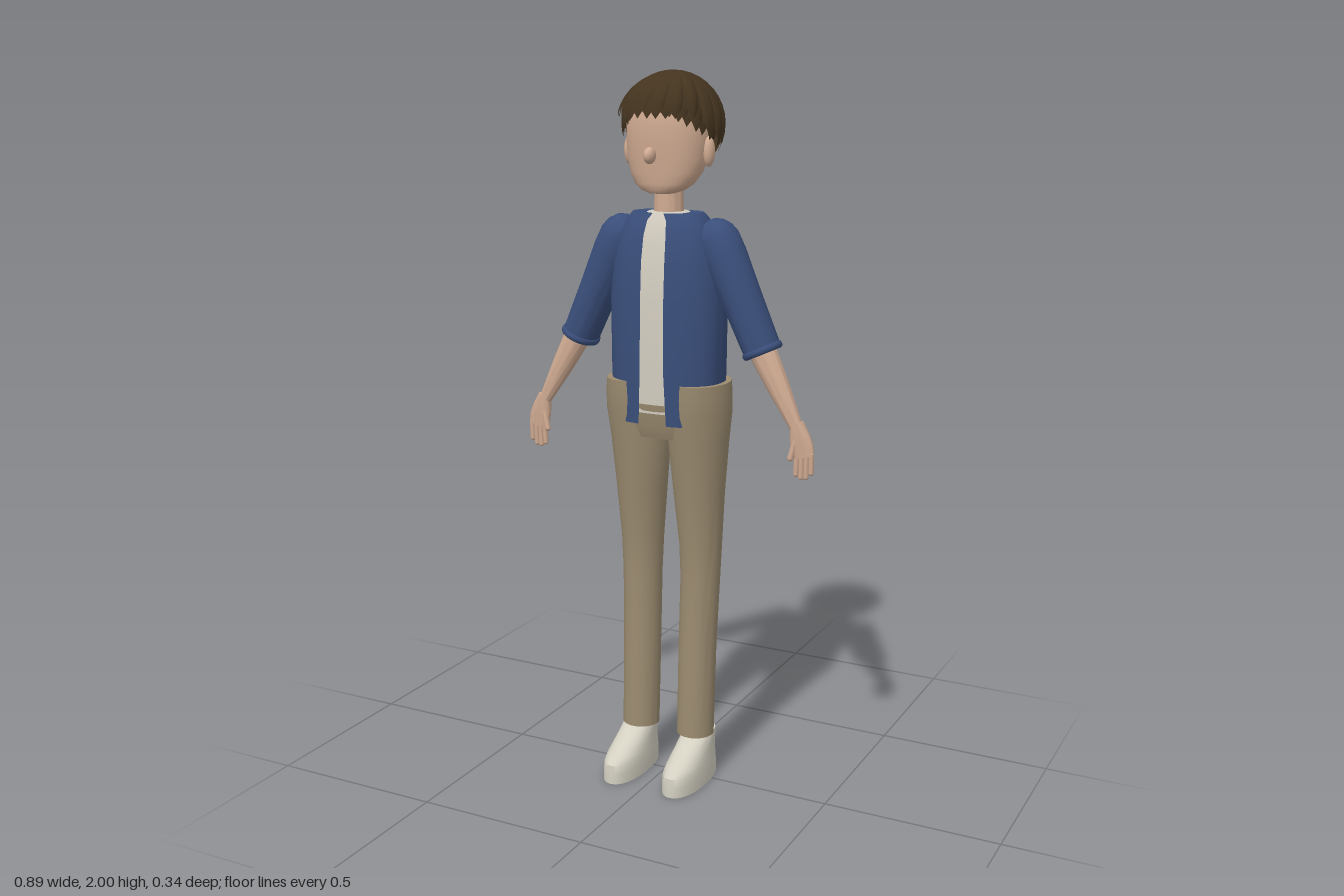
import * as THREE from 'three';
import { toCreasedNormals } from 'three/addons/utils/BufferGeometryUtils.js';

const mat = (name, color) => {
  const m = new THREE.MeshStandardMaterial({ color, side: THREE.DoubleSide });
  m.name = name;
  return m;
};

// Grid surface: u runs counter-clockwise seen from above, v runs upwards
function grid(fn, nu, nv, crease = 0.7) {
  const pos = [], idx = [];
  for (let j = 0; j <= nv; j++) for (let i = 0; i <= nu; i++) pos.push(...fn(i / nu, j));
  for (let j = 0; j < nv; j++) for (let i = 0; i < nu; i++) {
    const a = j * (nu + 1) + i, b = a + nu + 1;
    idx.push(a, a + 1, b + 1, a, b + 1, b);
  }
  const g = new THREE.BufferGeometry();
  g.setAttribute('position', new THREE.Float32BufferAttribute(pos, 3));
  g.setIndex(idx);
  return toCreasedNormals(g, crease);
}

// Loft through rings [y, xMin, xMax, zBack, zFront, frontGap], bottom to top
function loft(rings, { n = 2, seg = 32, bottom = true, top = true, crease = 0.7 } = {}) {
  const flat = ([y, x0, x1, z0, z1]) => {
    const x = (x0 + x1) / 2, z = (z0 + z1) / 2;
    return [y, x, x, z, z];
  };
  const r = [...rings];
  if (bottom) r.unshift(flat(rings[0]));
  if (top) r.push(flat(rings.at(-1)));
  const pw = (v) => Math.sign(v) * Math.abs(v) ** (2 / n);
  return grid((u, j) => {
    const [y, x0, x1, z0, z1, gap = 0] = r[j];
    const rx = (x1 - x0) / 2, rz = (z1 - z0) / 2;
    const start = gap ? Math.asin((gap / rx) ** (n / 2)) : 0;
    const t = start + u * (Math.PI * 2 - start * 2);
    return [(x0 + x1) / 2 + rx * pw(Math.sin(t)), y, (z0 + z1) / 2 + rz * pw(Math.cos(t))];
  }, seg, r.length - 1, crease);
}

// Dome of hair divided into pointed locks; hem gives the polar angle of its edge
function hairDome({ c, r, from, to, locks, hem, tooth, apex = 0, shift = 0 }) {
  const rows = 12;
  return grid((u, j) => {
    const phi = from + u * (to - from), t = 1 - j / rows;
    const k = (((u * locks + shift) % 1) + 1) % 1;
    const edge = Math.abs(k - 0.5) * 2;
    const a = t * (hem(phi) + tooth * (0.5 - edge));
    const s = Math.sin(a) * (1 - 0.06 * edge ** 3 * t);
    return [c[0] + r[0] * s * Math.sin(phi) + apex * (1 - t), c[1] + r[1] * Math.cos(a), c[2] + r[2] * s * Math.cos(phi)];
  }, locks * 8, rows, 0.5);
}

export function createModel() {
  const model = new THREE.Group();
  const skin = mat('skin', 0xd0ab92), hair = mat('brown hair', 0x44341f), blue = mat('blue jacket', 0x3a4e7a);
  const khaki = mat('khaki trousers', 0x9b8b70), cream = mat('cream shirt', 0xd2ccbf), shoeMat = mat('off-white shoes', 0xd3cfc1);

  const add = (name, geometry, material) => {
    const m = new THREE.Mesh(geometry, material);
    m.name = name;
    model.add(m);
    return m;
  };
  const ball = (name, p, s, material) => {
    const m = add(name, new THREE.SphereGeometry(1, 20, 14), material);
    m.position.set(...p);
    m.scale.set(...s);
    return m;
  };
  // Stands a part built along +y on point a, pointing to b
  const aim = (m, a, b) => {
    const A = new THREE.Vector3(...a), d = new THREE.Vector3(...b).sub(A).normalize();
    m.position.copy(A);
    m.quaternion.setFromUnitVectors(new THREE.Vector3(0, 1, 0), d);
    return m;
  };
  const sym = (y, x, z0, z1, gap) => [y, -x, x, z0, z1, gap];
  const round = (y, x, z = x) => [y, -x, x, -z, z];

  // Head, ears, nose and neck
  add('head', loft([
    sym(1.68, 0.035, -0.005, 0.055), sym(1.688, 0.06, -0.025, 0.062), sym(1.705, 0.083, -0.048, 0.066),
    sym(1.735, 0.101, -0.075, 0.069), sym(1.77, 0.111, -0.095, 0.073), sym(1.81, 0.115, -0.108, 0.077),
    sym(1.86, 0.115, -0.115, 0.08), sym(1.91, 0.104, -0.112, 0.075), sym(1.945, 0.08, -0.098, 0.055),
    sym(1.965, 0.045, -0.07, 0.025),
  ], { n: 2.2, crease: 1.2 }), skin);
  ball('nose', [0, 1.782, 0.095], [0.015, 0.022, 0.023], skin);
  for (const s of [-1, 1]) ball('ear', [s * 0.118, 1.79, -0.017], [0.016, 0.04, 0.02], skin);
  add('neck', loft([sym(1.58, 0.042, -0.058, 0.024), sym(1.72, 0.038, -0.053, 0.023)]), skin);

  // Hair: two staggered cap layers and a swept fringe
  const capHem = (phi) => 1.08 + 1.1 * Math.sin(Math.abs(phi) / 2);
  [[1, 0], [0.95, 0.5]].forEach(([k, shift]) => add('hairCap', hairDome({
    c: [0, 1.86, -0.042], r: [0.142 * k, 0.14 * k, 0.131 * k], from: -Math.PI, to: Math.PI,
    locks: 18, hem: capHem, tooth: 0.3, shift,
  }), hair));
  [[1, 0], [0.96, 0.5]].forEach(([k, shift]) => add('fringe', hairDome({
    c: [0, 1.88, 0], r: [0.133 * k, 0.119 * k, 0.115 * k], from: -1.2, to: 1.2,
    locks: 6, hem: () => 1.45, tooth: 0.3, apex: 0.03, shift,
  }), hair));

  // Shirt and open jacket
  add('shirt', loft([
    sym(1.085, 0.14, -0.108, 0.078), sym(1.2, 0.145, -0.112, 0.08), sym(1.4, 0.148, -0.108, 0.077),
    sym(1.55, 0.125, -0.096, 0.064), sym(1.61, 0.09, -0.073, 0.045), sym(1.63, 0.052, -0.064, 0.035),
  ], { n: 2.5 }), cream);
  add('jacket', loft([
    sym(1.055, 0.157, -0.122, 0.086, 0.042), sym(1.2, 0.162, -0.125, 0.09, 0.036), sym(1.4, 0.165, -0.122, 0.087, 0.035),
    sym(1.5, 0.153, -0.116, 0.081, 0.035), sym(1.57, 0.135, -0.104, 0.07, 0.033), sym(1.61, 0.116, -0.087, 0.057, 0.028),
    sym(1.628, 0.1, -0.075, 0.048, 0.016), sym(1.627, 0.055, -0.066, 0.038, 0.016),
  ], { n: 2.5, seg: 48, bottom: false, top: false }), blue);
  add('trouserSeat', loft([
    sym(1.012, 0.12, -0.1, 0.06), sym(1.05, 0.13, -0.11, 0.074), sym(1.11, 0.135, -0.112, 0.08),
  ], { n: 2.5 }), khaki);

  for (const s of [-1, 1]) {
    const side = (y, x0, x1, z0, z1) => (s > 0 ? [y, x0, x1, z0, z1] : [y, -x1, -x0, z0, z1]);
    const at = (x, y, z = 0) => [s * x, y, z];

    // Trouser leg and shoe
    add('trouserLeg', loft([
      side(0.13, 0.035, 0.142, -0.065, 0.04), side(0.4, 0.035, 0.143, -0.08, 0.033), side(0.6, 0.036, 0.148, -0.093, 0.026),
      side(0.7, 0.032, 0.152, -0.099, 0.03), side(0.85, 0.019, 0.161, -0.105, 0.05), side(1, 0.006, 0.174, -0.112, 0.067),
      side(1.08, 0.012, 0.182, -0.119, 0.08), side(1.13, 0.022, 0.181, -0.122, 0.085), side(1.17, 0.03, 0.177, -0.122, 0.086),
    ]), khaki);
    add('shoe', loft([
      side(0, 0.04, 0.15, -0.092, 0.168), side(0.03, 0.04, 0.15, -0.092, 0.168), side(0.055, 0.042, 0.148, -0.09, 0.165),
      side(0.07, 0.044, 0.146, -0.088, 0.147), side(0.1, 0.048, 0.142, -0.085, 0.09), side(0.125, 0.05, 0.14, -0.083, 0.042),
      side(0.137, 0.052, 0.138, -0.08, 0.025),
    ], { n: 2.2 }), shoeMat);

    // Sleeve with rolled cuff
    const cuffAt = at(0.28, 1.27, -0.018), shoulder = at(0.145, 1.565, -0.018);
    aim(add('sleeve', loft([
      round(0, 0.051, 0.056), round(0.15, 0.055, 0.058), round(0.27, 0.06), round(0.32, 0.058),
      round(0.345, 0.049), round(0.365, 0.032), round(0.374, 0.014),
    ], { bottom: false, crease: 1.1 }), blue), cuffAt, shoulder);
    const cuff = add('cuff', new THREE.TorusGeometry(0.049, 0.007, 8, 32).rotateX(Math.PI / 2), blue);
    aim(cuff, cuffAt, shoulder).scale.set(1, 1.5, 1.08);

    // Forearm, palm, fingers and thumb
    aim(add('forearm', loft([
      round(0, 0.018, 0.015), round(0.03, 0.021, 0.018), round(0.12, 0.031, 0.026), round(0.2, 0.037, 0.031), round(0.28, 0.038, 0.034),
    ]), skin), at(0.393, 1.07, 0.002), at(0.262, 1.31, -0.012));
    aim(add('palm', loft([
      round(0, 0.029, 0.009), round(0.03, 0.033, 0.012), round(0.06, 0.028, 0.015), round(0.095, 0.018, 0.016),
    ], { n: 2.4 }), skin), at(0.415, 0.995, 0.004), at(0.391, 1.09, 0.002));
    const digit = (name, a, b, r) => {
      const len = Math.hypot(b[0] - a[0], b[1] - a[1]);
      aim(add(name, new THREE.CapsuleGeometry(r, len, 4, 10).translate(0, len / 2, 0), skin), a, b);
    };
    [0.945, 0.938, 0.94, 0.953].forEach((y, i) =>
      digit('finger', at(0.394 + i * 0.014, 1.005, 0.004), at(0.392 + i * 0.0145, y, 0.002), 0.0075));
    digit('thumb', at(0.392, 1.045, 0.008), at(0.379, 0.99, 0.012), 0.0085);
  }
  return model;
}
